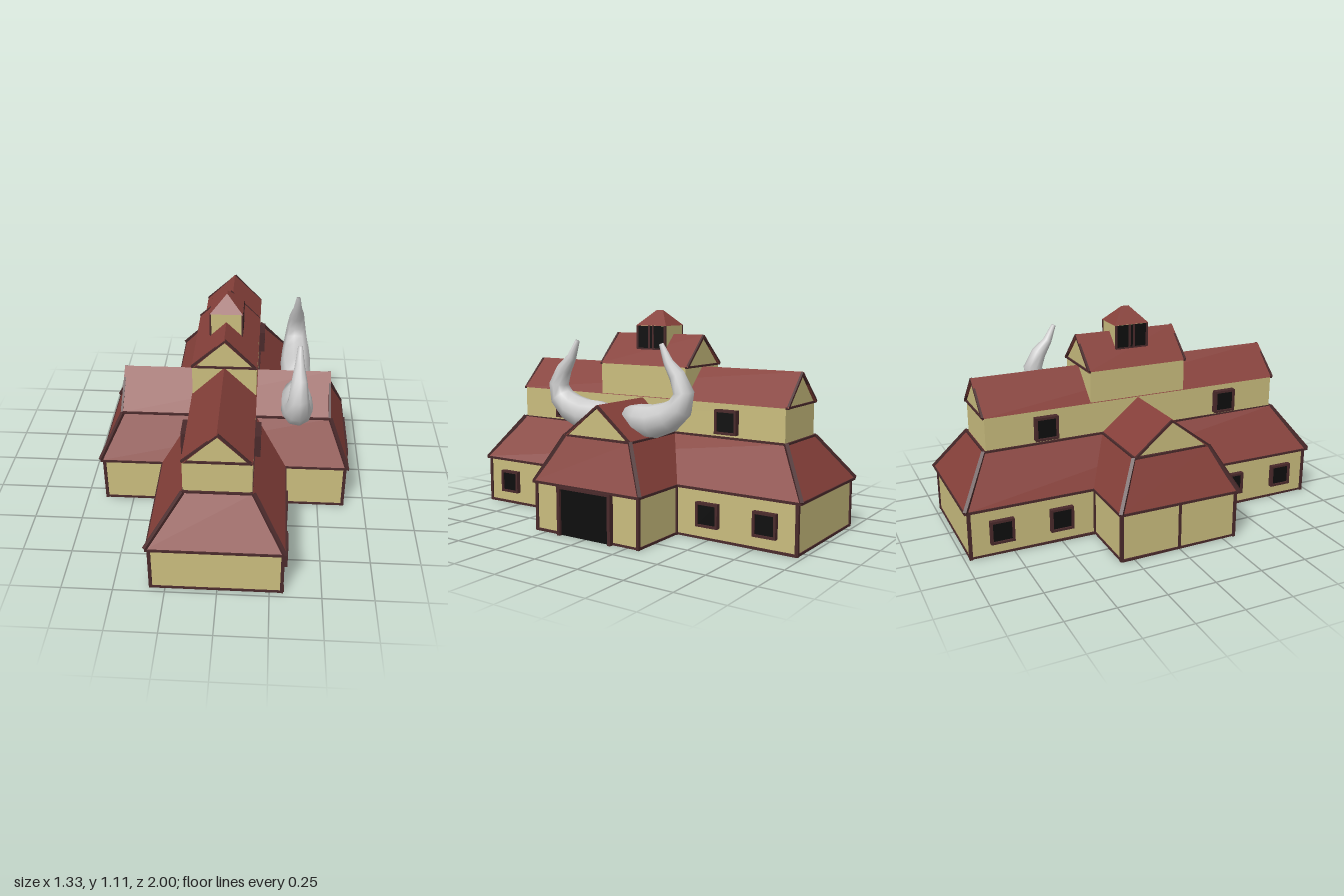
import * as THREE from 'three';

const mat = (color) => new THREE.MeshStandardMaterial({ color, flatShading: true });

export function createModel() {
  const model = new THREE.Group();
  const house = new THREE.Group();
  house.name = 'house';
  house.position.x = -0.005;
  model.add(house);

  const wall = mat(0xcabd7e), roof = mat(0x86403a), trim = mat(0x4a2a2b), dark = mat(0x0e0e0e);

  const add = (name, geo, material, parent = house) => {
    const m = new THREE.Mesh(geo, material);
    m.name = name;
    parent.add(m);
    return m;
  };
  // Box centred on x, z and standing between y0 and y1
  const box = (name, material, w, d, y0, y1, x = 0, z = 0) => {
    const m = add(name, new THREE.BoxGeometry(w, y1 - y0, d), material);
    m.position.set(x, (y0 + y1) / 2, z);
    return m;
  };
  // Square timber between two points
  const beam = (name, a, b, t = 0.014, parent = house) => {
    const p = new THREE.Vector3(...a), q = new THREE.Vector3(...b);
    const m = add(name, new THREE.BoxGeometry(t, t, p.distanceTo(q)), trim, parent);
    m.position.copy(p).add(q).multiplyScalar(0.5);
    m.lookAt(q);
    return m;
  };

  // Hipped roof: bottom half sizes, top half sizes
  function hipRoof(name, bx, bz, tx, tz, y0, y1, trimmed = true) {
    const s = [[-1, 1], [1, 1], [1, -1], [-1, -1]];
    const lo = s.map(([a, b]) => [a * bx, y0, b * bz]);
    const hi = s.map(([a, b]) => [a * tx, y1, b * tz]);
    const pos = [];
    const quad = (a, b, c, d) => pos.push(...a, ...b, ...c, ...a, ...c, ...d);
    for (let i = 0; i < 4; i++) {
      const j = (i + 1) % 4;
      quad(lo[i], lo[j], hi[j], hi[i]);
      if (trimmed) {
        beam(name + 'HipTrim', lo[i], hi[i], 0.018);
        beam(name + 'TopTrim', hi[i], hi[j], 0.01);
      }
    }
    quad(...hi);
    quad(lo[3], lo[2], lo[1], lo[0]);
    const g = new THREE.BufferGeometry();
    g.setAttribute('position', new THREE.Float32BufferAttribute(pos, 3));
    g.computeVertexNormals();
    add(name, g, roof);
  }

  // Gabled roof running along z, with recessed end walls and rake trim
  function gableRoof(name, w, halfLen, y0, y1) {
    const group = new THREE.Group();
    group.name = name;
    house.add(group);
    const t = 0.014;
    const prism = (pts, half) => new THREE.ExtrudeGeometry(
      new THREE.Shape(pts.map((p) => new THREE.Vector2(...p))),
      { depth: half * 2, bevelEnabled: false }).translate(0, 0, -half);
    add('roofSlopes', prism([[-w, y0], [-w + t, y0], [0, y1 - t], [w - t, y0], [w, y0], [0, y1]], halfLen), roof, group);
    add('gableWall', prism([[-w + 0.005, y0], [w - 0.005, y0], [0, y1 - 0.005]], halfLen - 0.012), wall, group);
    for (const s of [-1, 1]) {
      const z = s * (halfLen - 0.005);
      for (const k of [-1, 1]) beam('rakeTrim', [k * (w - 0.004), y0 + 0.001, z], [0, y1 - 0.006, z], 0.011, group);
      beam('gableSill', [-w, y0, z - s * 0.004], [w, y0, z - s * 0.004], 0.01, group);
    }
    return group;
  }

  // Framed window on a wall facing +x or -x
  function sideWindow(side, x, y, z, size) {
    const t = 0.012, h = size / 2;
    box('windowPane', dark, 0.026, size - t, y - h + t / 2, y + h - t / 2, side * x, z);
    for (const s of [-1, 1]) {
      box('windowJamb', trim, 0.044, t, y - h, y + h, side * x, z + s * (h - t / 2));
      const yy = y + s * (h - t / 2);
      box('windowRail', trim, 0.044, size, yy - t / 2, yy + t / 2, side * x, z);
    }
  }

  // Ground floor: long hall and cross wing
  box('hallWalls', wall, 0.63, 1.94, 0, 0.25);
  box('wingWalls', wall, 1.28, 0.63, 0, 0.25);
  for (const sx of [-1, 1]) for (const sz of [-1, 1]) {
    for (const [x, z] of [[0.314, 0.969], [0.639, 0.314], [0.316, 0.316]])
      box('cornerPost', trim, 0.016, 0.016, 0, 0.25, sx * x, sz * z);
    beam('hallSill', [sx * 0.314, 0.006, sz * 0.315], [sx * 0.314, 0.006, sz * 0.97], 0.012);
    beam('wingSill', [sx * 0.315, 0.006, sz * 0.314], [sx * 0.64, 0.006, sz * 0.314], 0.012);
  }
  for (const s of [-1, 1]) {
    beam('hallEndSill', [-0.315, 0.006, s * 0.969], [0.315, 0.006, s * 0.969], 0.012);
    beam('wingEndSill', [s * 0.639, 0.006, -0.315], [s * 0.639, 0.006, 0.315], 0.012);
  }

  // Lower roofs with dark eaves
  box('hallEave', trim, 0.66, 1.985, 0.246, 0.258);
  box('wingEave', trim, 1.315, 0.66, 0.246, 0.258);
  hipRoof('hallLowerRoof', 0.326, 0.988, 0.165, 0.836, 0.256, 0.485);
  hipRoof('wingLowerRoof', 0.653, 0.326, 0.547, 0.205, 0.256, 0.485);

  // Wing gable, upper storey and tower
  gableRoof('wingGable', 0.205, 0.553, 0.485, 0.652).rotation.y = Math.PI / 2;
  box('upperWalls', wall, 0.324, 1.652, 0.48, 0.656);
  gableRoof('upperGable', 0.165, 0.84, 0.655, 0.817);
  box('towerWalls', wall, 0.324, 0.536, 0.65, 0.82);
  gableRoof('towerGable', 0.165, 0.28, 0.82, 0.98);

  // Cupola with paired openings
  box('cupolaWalls', wall, 0.162, 0.18, 0.82, 1.025);
  hipRoof('cupolaRoof', 0.084, 0.095, 0.001, 0.02, 1.024, 1.105, false);
  for (const s of [-1, 1]) {
    box('cupolaOpening', dark, 0.006, 0.172, 0.9, 1.022, s * 0.081, 0);
    for (const z of [-0.087, -0.012, 0.012, 0.087]) box('cupolaPost', trim, 0.008, 0.012, 0.9, 1.024, s * 0.081, z);
    box('cupolaSill', trim, 0.008, 0.18, 0.896, 0.906, s * 0.081, 0);
  }

  // Windows on both long sides
  for (const side of [-1, 1]) for (const s of [-1, 1]) {
    sideWindow(side, 0.318, 0.128, s * 0.5, 0.122);
    sideWindow(side, 0.318, 0.128, s * 0.81, 0.122);
    sideWindow(side, 0.172, 0.565, s * 0.515, 0.122);
  }

  // Barn door, and the centre post on the opposite wall
  box('doorOpening', dark, 0.02, 0.31, 0.002, 0.246, 0.642, 0);
  for (const s of [-1, 1]) box('doorPost', trim, 0.034, 0.018, 0, 0.25, 0.648, s * 0.157);
  box('doorLintel', trim, 0.034, 0.33, 0.238, 0.25, 0.648, 0);
  box('centrePost', trim, 0.012, 0.014, 0, 0.25, -0.639, 0);

  // Curved horns: z, y, radius along the sweep
  const path = [[0.06, 0.575, 0.062], [0.13, 0.57, 0.08], [0.215, 0.568, 0.085], [0.305, 0.598, 0.077],
    [0.372, 0.65, 0.064], [0.393, 0.72, 0.052], [0.355, 0.8, 0.041], [0.302, 0.865, 0.025], [0.262, 0.95, 0.012]];
  const n = 9, pos = [], idx = [];
  path.forEach(([z, y, r], i) => {
    const a = path[Math.max(i - 1, 0)], b = path[Math.min(i + 1, path.length - 1)];
    const len = Math.hypot(b[0] - a[0], b[1] - a[1]);
    const tz = (b[0] - a[0]) / len, ty = (b[1] - a[1]) / len;
    for (let k = 0; k < n; k++) {
      const c = Math.cos(k / n * Math.PI * 2) * r, s = Math.sin(k / n * Math.PI * 2) * r;
      pos.push(c, y + s * tz, z - s * ty);
      const p = i * n + k, q = i * n + (k + 1) % n;
      if (i < path.length - 1) idx.push(p, q, q + n, p, q + n, p + n);
    }
  });
  const last = (path.length - 1) * n;
  for (let k = 1; k < n - 1; k++) idx.push(0, k + 1, k, last, last + k, last + k + 1);
  const hornGeo = new THREE.BufferGeometry();
  hornGeo.setAttribute('position', new THREE.Float32BufferAttribute(pos, 3));
  hornGeo.setIndex(idx);
  hornGeo.computeVertexNormals();
  const hornMat = new THREE.MeshStandardMaterial({ color: 0xcccccc });
  ['frontHorn', 'backHorn'].forEach((name, i) => {
    const horn = add(name, hornGeo, hornMat, model);
    horn.position.x = 0.367;
    horn.rotation.y = i * Math.PI;
  });

  return model;
}
